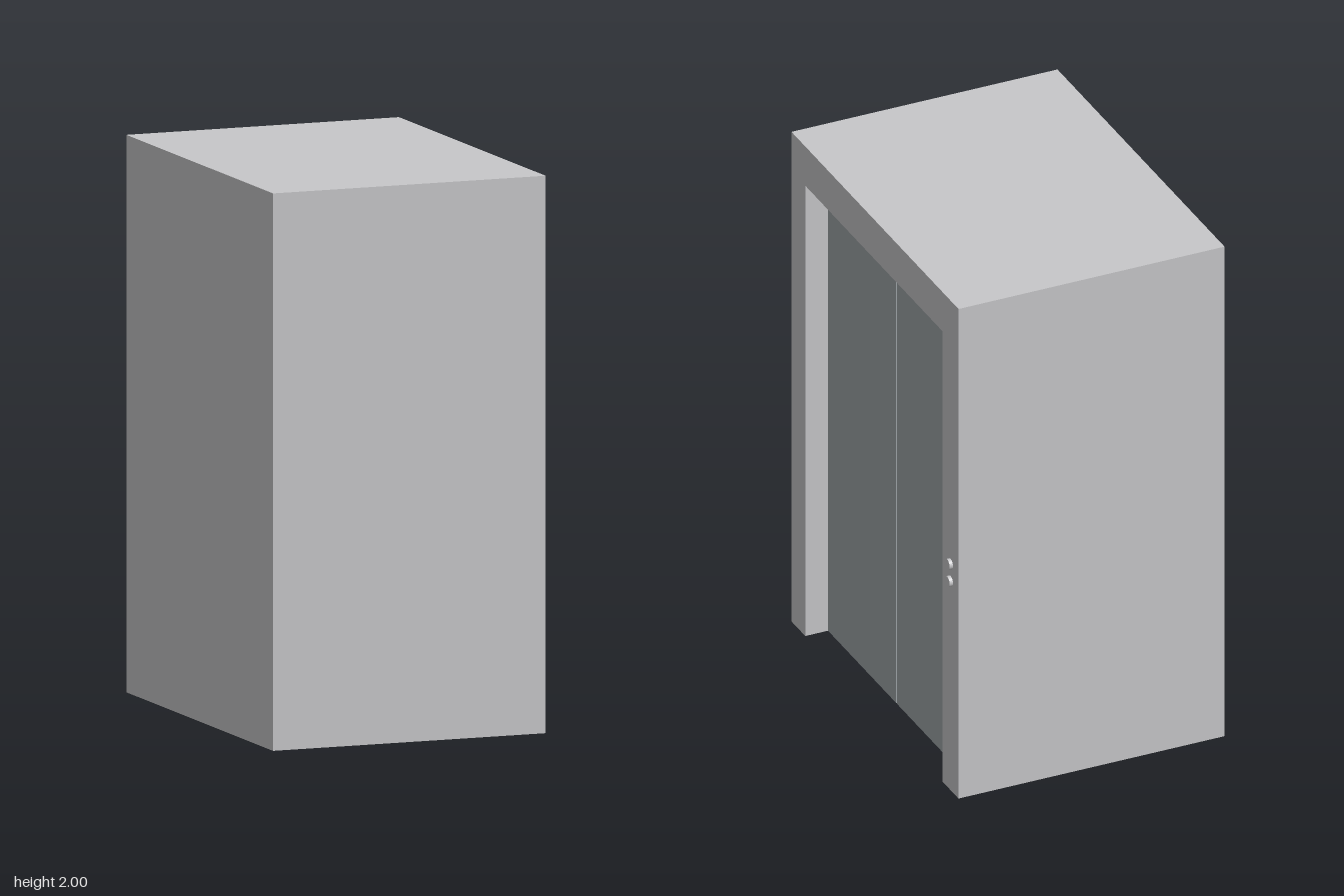
import * as THREE from 'three';

export function createModel() {
  const group = new THREE.Group();
  group.name = 'elevatorCabin';

  const casing = new THREE.MeshStandardMaterial({ color: 0xc8c8ca });
  casing.name = 'light grey casing';
  const steel = new THREE.MeshStandardMaterial({ color: 0xa0a6a9 });
  steel.name = 'blue grey door';

  function add(name, geometry, material, x = 0, y = 0, z = 0) {
    const mesh = new THREE.Mesh(geometry, material);
    mesh.name = name;
    mesh.position.set(x, y, z);
    group.add(mesh);
    return mesh;
  }

  const height = 2, halfDepth = 0.695;
  const backX = -0.527, innerX = 0.405, doorX = 0.425, frontX = 0.514;
  const openTop = 1.84, openNear = 0.58, openFar = -0.56;

  // Cabin block behind the doors
  add('cabin', new THREE.BoxGeometry(innerX - backX, height, halfDepth * 2), casing,
    (innerX + backX) / 2, height / 2, 0);

  // Door surround, open at the floor; outline drawn with shape x = -z
  const outline = new THREE.Shape([
    [-halfDepth, 0], [-openNear, 0], [-openNear, openTop], [-openFar, openTop],
    [-openFar, 0], [halfDepth, 0], [halfDepth, height], [-halfDepth, height],
  ].map(([x, y]) => new THREE.Vector2(x, y)));
  const surround = new THREE.ExtrudeGeometry(outline, { depth: frontX - innerX, bevelEnabled: false });
  surround.rotateY(Math.PI / 2);
  add('doorSurround', surround, casing, innerX);

  // Two sliding door leaves with a narrow gap between them
  const gap = 0.006;
  const leafWidth = (openNear - openFar - gap) / 2;
  const middle = (openNear + openFar) / 2;
  for (const side of [-1, 1]) {
    add(side > 0 ? 'nearDoorLeaf' : 'farDoorLeaf',
      new THREE.BoxGeometry(doorX - innerX, openTop, leafWidth), steel,
      (doorX + innerX) / 2, openTop / 2, middle + side * (leafWidth + gap) / 2);
  }

  // Round call buttons beside the doors
  const buttonDepth = 0.013;
  [['upperCallButton', 0.925], ['lowerCallButton', 0.855]].forEach(([name, y]) => {
    const button = new THREE.CylinderGeometry(0.02, 0.02, buttonDepth, 32);
    button.rotateZ(-Math.PI / 2);
    add(name, button, casing, frontX + buttonDepth / 2, y, -0.629);
  });

  return group;
}
